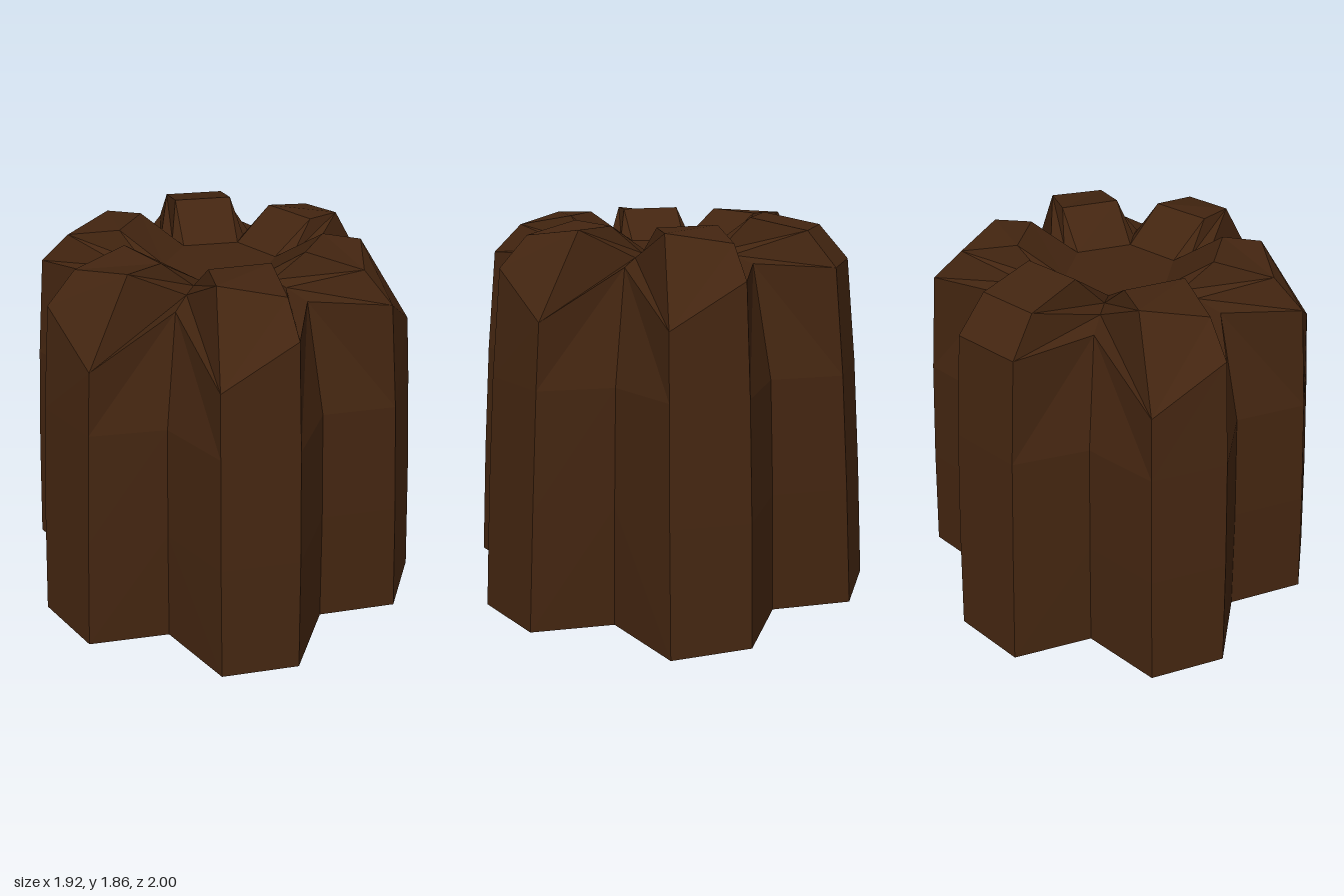
import * as THREE from 'three';

const LOBES = 6;
const STEP = (Math.PI * 2) / LOBES;

// Rows from base to centre: [radial distance, sideways offset, height]
const HIGH_TIP = [[1, 0.185, 0.02], [0.96, 0.182, 0.6], [0.915, 0.175, 1.15], [0.86, 0.165, 1.645], [0.72, 0.145, 1.785], [0.45, 0.14, 1.835]];
const LOW_TIP = [[1, 0.185, 0.02], [0.96, 0.182, 0.6], [0.915, 0.175, 1.15], [0.885, 0.17, 1.45], [0.64, 0.14, 1.825], [0.46, 0.14, 1.83]];
const VALLEY = [[0.767, 0, 0.02], [0.745, 0, 0.6], [0.713, 0, 1.15], [0.585, 0, 1.665], [0.45, 0, 1.69], [0.36, 0, 1.7]];
const HUB = [0.27, 0, 1.69];

// Which shoulder of each lobe is cut lower (-1, +1, or 0 for neither)
const LOW_SIDE = [1, -1, 1, -1, 0, -1];

function place(angle, [radial, side, y]) {
  return new THREE.Vector3(
    Math.sin(angle) * radial + Math.cos(angle) * side, y,
    Math.cos(angle) * radial - Math.sin(angle) * side
  );
}

function makeGeometry(triangles) {
  const geometry = new THREE.BufferGeometry().setFromPoints(triangles);
  geometry.computeVertexNormals();
  return geometry;
}

export function createModel() {
  const group = new THREE.Group();
  group.name = 'flutedCake';
  const crust = new THREE.MeshStandardMaterial({ color: 0x432510, flatShading: true });
  crust.name = 'dark brown crust';

  // Each lobe has two tip columns followed by a valley column
  const columns = [];
  for (let k = 0; k < LOBES; k++) {
    const a = k * STEP;
    for (const s of [-1, 1]) {
      const rows = LOW_SIDE[k] === s ? LOW_TIP : HIGH_TIP;
      const column = rows.map(([r, side, y], j) =>
        place(a, [r, side * s, y + (k === 4 && j > 3 ? 0.02 : 0)]));
      if (k === 3 && s === -1) column[0].y = 0;
      column.push(place(a + s * STEP / 2, HUB));
      columns.push(column);
    }
    columns.push([...VALLEY, HUB].map((p) => place(a + STEP / 2, p)));
  }

  // Fluted wall and rounded crown
  const wall = [];
  const top = [];
  const bottom = [];
  const topCentre = new THREE.Vector3(0, HUB[2], 0);
  const bottomCentre = new THREE.Vector3(0, 0.02, 0);
  const addTriangle = (list, a, b, c) => {
    const area = new THREE.Triangle(a, b, c).getArea();
    if (area > 1e-6) list.push(a, b, c);
  };
  columns.forEach((p, i) => {
    const q = columns[(i + 1) % columns.length];
    for (let j = 0; j < p.length - 1; j++) {
      // Mirror the diagonal where a valley comes before a tip
      if (i % 3 === 2) {
        addTriangle(wall, p[j], q[j], p[j + 1]);
        addTriangle(wall, q[j], q[j + 1], p[j + 1]);
      } else {
        addTriangle(wall, p[j], q[j], q[j + 1]);
        addTriangle(wall, p[j], q[j + 1], p[j + 1]);
      }
    }
    addTriangle(top, p[p.length - 1], q[q.length - 1], topCentre);
    addTriangle(bottom, q[0], p[0], bottomCentre);
  });

  const parts = { flutedWall: wall, centreDip: top, base: bottom };
  for (const [name, triangles] of Object.entries(parts)) {
    const mesh = new THREE.Mesh(makeGeometry(triangles), crust);
    mesh.name = name;
    group.add(mesh);
  }
  return group;
}
